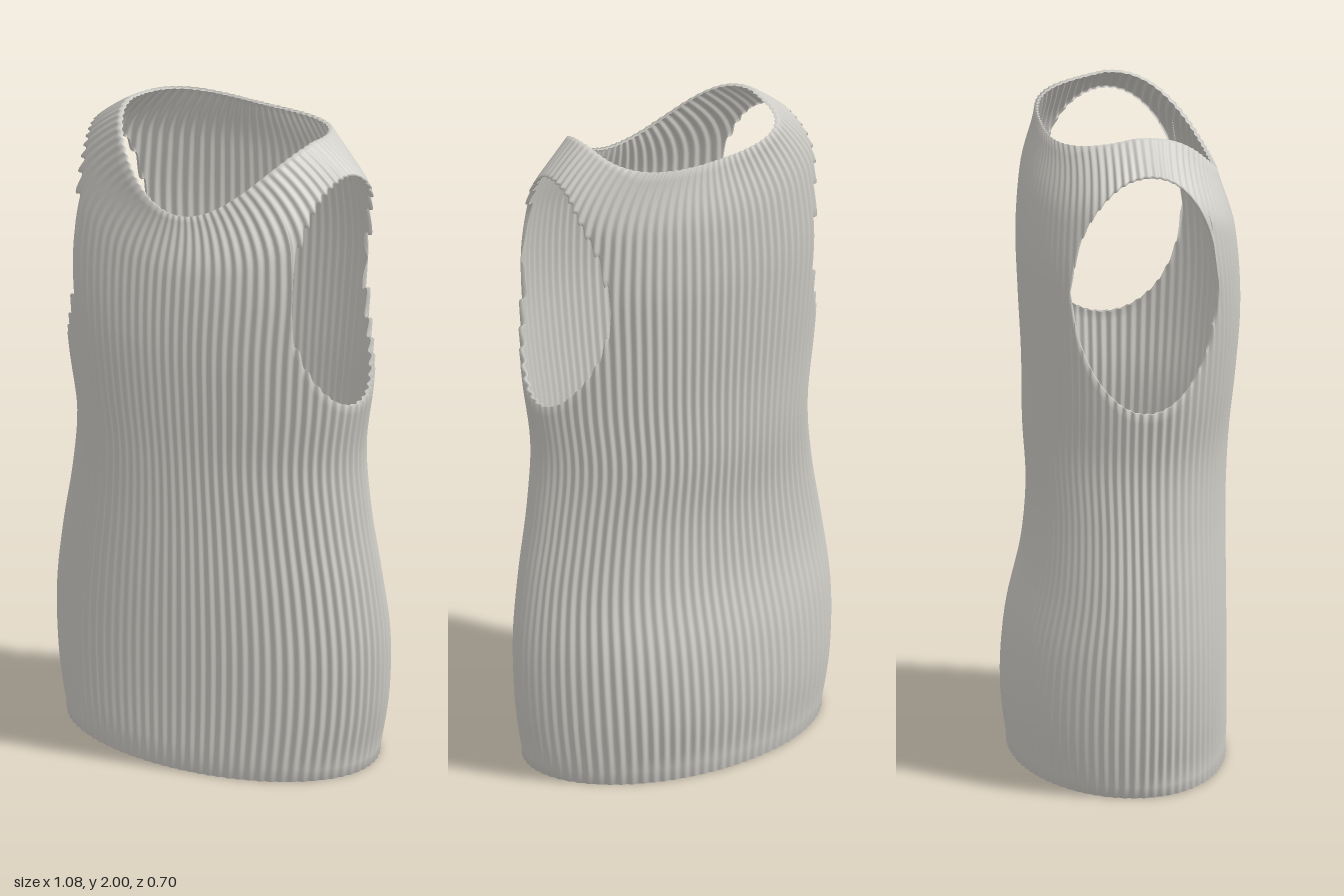
import * as THREE from 'three';
import { mergeVertices } from 'three/addons/utils/BufferGeometryUtils.js';

const RIBS = 84, COLS = RIBS * 8, LOW_ROWS = 36, TOP_ROWS = 14;
const HOLE = { y: 1.55, z: 0.02, ry: 0.36, rz: 0.22 };

// Body half width, front depth and back depth, every 0.2 up the height
const WIDTH = [0.5, 0.527, 0.533, 0.511, 0.477, 0.458, 0.483, 0.503, 0.517, 0.492, 0.46];
const FRONT = [0.305, 0.304, 0.304, 0.303, 0.303, 0.313, 0.334, 0.348, 0.336, 0.3, 0.24];
const BACK = [0.33, 0.346, 0.33, 0.284, 0.268, 0.28, 0.282, 0.292, 0.298, 0.283, 0.25];

// Smooth cubic reading of a profile
function read(list, y) {
  const p = y / 0.2;
  const i = Math.min(Math.max(Math.floor(p), 0), list.length - 2);
  const t = p - i;
  const a = list[Math.max(i - 1, 0)], b = list[i], c = list[i + 1];
  const d = list[Math.min(i + 2, list.length - 1)];
  return b + 0.5 * t * (c - a + t * (2 * a - 5 * b + 4 * c - d + t * (3 * (b - c) + d - a)));
}

// Neckline: deep rounded scoop in front, shallow squarer curve behind
function neck(c, s) {
  if (s >= 0) return new THREE.Vector3(0.315 * c, 2 - 0.2 * Math.pow(s, 2.5), 0.285 * s);
  const k = Math.pow(Math.abs(c) ** 3 + Math.abs(s) ** 3, -1 / 3);
  return new THREE.Vector3(0.315 * c * k, 2 + 0.045 * s, 0.24 * s * k);
}

// Ribbed cloth surface at one column angle and height
function cloth(tau, y) {
  const angle = tau + 0.1 * Math.sin(2 * tau);
  const c = Math.cos(angle), s = Math.sin(angle);
  const n = neck(c, s);
  const w = read(WIDTH, y), d = read(s >= 0 ? FRONT : BACK, y);
  const e = Math.max(0, (y / n.y - 0.9) / 0.1) ** 2;
  const p = new THREE.Vector3(w * c, y, d * s);
  p.x += (n.x - p.x) * e;
  p.z += (n.z - p.z) * e;
  const out = new THREE.Vector3(c / w, 0, s / d).normalize();
  const hem = 0.4 + 0.6 * THREE.MathUtils.smoothstep(y, 0.03, 0.09);
  const rib = 0.0045 * Math.cos(RIBS * tau) * hem * (1 - 0.5 * Math.min(e, 1));
  return p.addScaledVector(out, rib);
}

const neckHeight = (tau) => {
  const a = tau + 0.1 * Math.sin(2 * tau);
  return neck(Math.cos(a), Math.sin(a)).y;
};

// Below zero inside an armhole
function armhole(tau, y) {
  const z = cloth(tau, y).z;
  return ((z - HOLE.z) / HOLE.rz) ** 2 + ((y - HOLE.y) / HOLE.ry) ** 2 - 1;
}

// Height where a column meets the armhole edge
function edge(tau, outside) {
  let inside = HOLE.y;
  for (let i = 0; i < 30; i++) {
    const m = (inside + outside) / 2;
    if (armhole(tau, m) < 0) inside = m;
    else outside = m;
  }
  return outside;
}

// Lower and upper stretch of one column, each with thin turned-in rims
function column(tau) {
  const open = armhole(tau, HOLE.y) < 0;
  const low = open ? edge(tau, 0.9) : HOLE.y;
  const high = open ? edge(tau, 1.99) : HOLE.y;
  const top = neckHeight(tau);
  const rim = (p, k, dy) => p.clone().multiply(new THREE.Vector3(k, 1, k)).setY(p.y + dy);
  const lower = [], upper = [];
  for (let j = 0; j <= LOW_ROWS; j++) lower.push(cloth(tau, (low * j) / LOW_ROWS));
  for (let j = 0; j <= TOP_ROWS; j++) upper.push(cloth(tau, high + ((top - high) * j) / TOP_ROWS));
  const k = open ? 0.975 : 1;
  lower.push(rim(lower[LOW_ROWS], k, 0));
  upper.unshift(rim(upper[0], k, 0));
  lower.unshift(rim(lower[0], 0.975, 0));
  upper.push(rim(upper[upper.length - 1], 0.965, -0.004));
  return { lower, upper };
}

// Joins neighbouring columns into a grid
function addGrid(columns, positions, index) {
  const rows = columns[0].length, base = positions.length / 3;
  columns.forEach((col) => col.forEach((p) => positions.push(p.x, p.y, p.z)));
  for (let i = 0; i < columns.length; i++) {
    const here = base + i * rows, next = base + ((i + 1) % columns.length) * rows;
    for (let j = 0; j < rows - 1; j++) {
      index.push(here + j, here + j + 1, next + j);
      index.push(next + j, here + j + 1, next + j + 1);
    }
  }
}

export function createModel() {
  const fabric = new THREE.MeshStandardMaterial({ color: 0xd0cec8, side: THREE.DoubleSide });
  fabric.name = 'light grey knit';

  const columns = [];
  for (let i = 0; i < COLS; i++) columns.push(column((i / COLS) * Math.PI * 2));
  const positions = [], index = [];
  addGrid(columns.map((c) => c.lower), positions, index);
  addGrid(columns.map((c) => c.upper), positions, index);

  let geometry = new THREE.BufferGeometry();
  geometry.setAttribute('position', new THREE.Float32BufferAttribute(positions, 3));
  geometry.setIndex(index);
  geometry = mergeVertices(geometry, 1e-5);
  geometry.computeVertexNormals();

  const top = new THREE.Mesh(geometry, fabric);
  top.name = 'ribbedTankTop';
  const group = new THREE.Group();
  group.name = 'sleevelessTop';
  group.add(top);
  return group;
}
